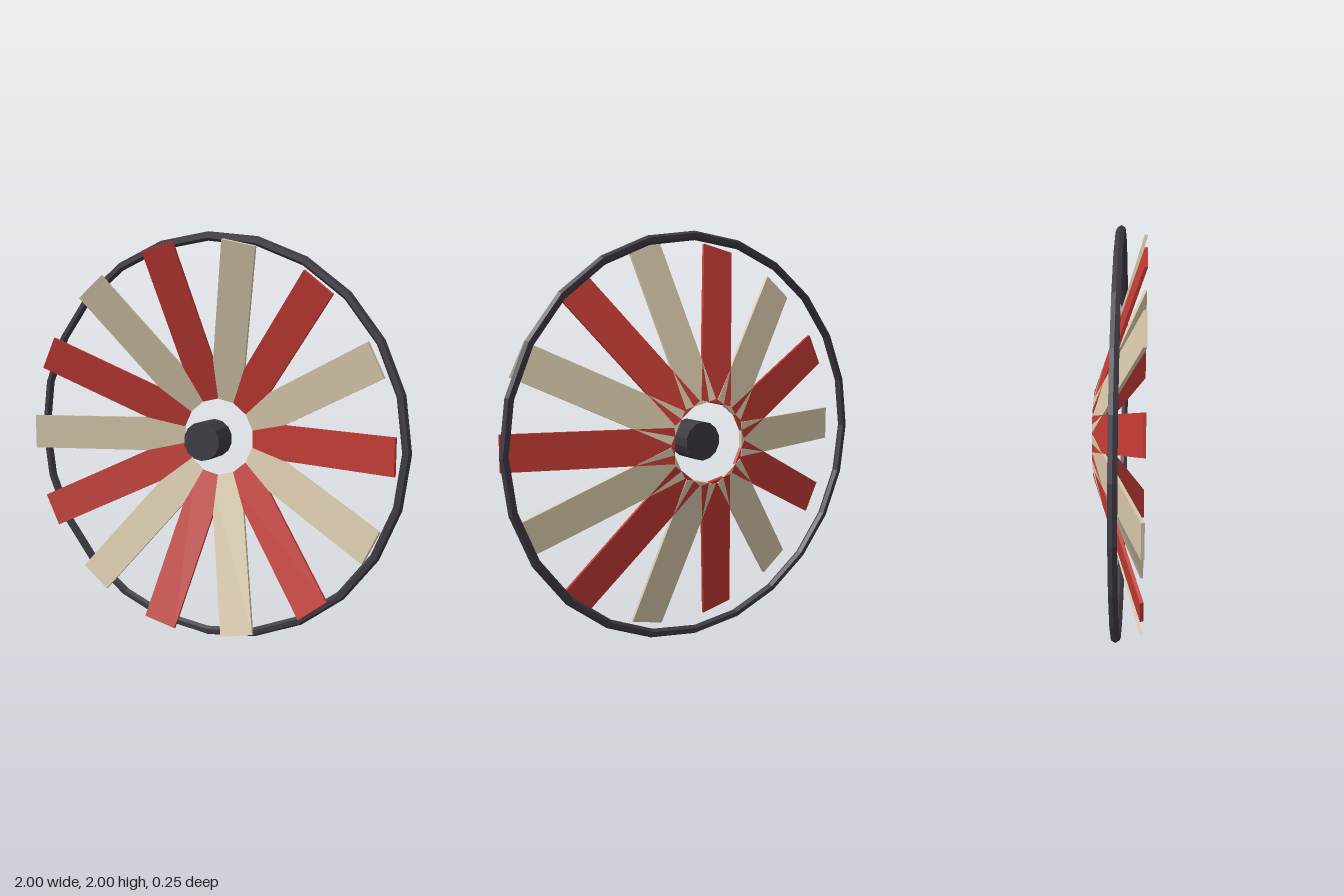
import * as THREE from 'three';

export function createModel() {
  const model = new THREE.Group();
  model.name = 'windWheel';
  const material = (name, color) => {
    const m = new THREE.MeshStandardMaterial({ color, flatShading: true });
    m.name = name;
    return m;
  };
  const red = material('red paint', 0xc23a34);
  const cream = material('cream paint', 0xd6c7a9);
  const iron = material('dark iron', 0x3d3a43);

  // everything turns about the wheel centre
  const wheel = new THREE.Group();
  wheel.name = 'wheel';
  wheel.position.y = 1;
  model.add(wheel);

  // outer rim
  const rim = new THREE.Mesh(new THREE.TorusGeometry(0.978, 0.022, 6, 24), iron);
  rim.name = 'rim';
  wheel.add(rim);

  // hub along z
  const hub = new THREE.Mesh(new THREE.CylinderGeometry(0.095, 0.095, 0.15, 14), iron);
  hub.name = 'hub';
  hub.rotation.x = Math.PI / 2;
  wheel.add(hub);

  // blades lean forward towards the rim and alternate in colour
  const count = 14;
  const bladeGeometry = new THREE.BoxGeometry(0.8, 0.172, 0.015);
  bladeGeometry.rotateY(-0.3);
  bladeGeometry.translate(0.573, 0, 0);
  for (let i = 0; i < count; i++) {
    const blade = new THREE.Mesh(bladeGeometry, i % 2 ? cream : red);
    blade.name = 'blade' + (i + 1);
    blade.rotation.z = (i / count) * Math.PI * 2;
    wheel.add(blade);
  }
  return model;
}
